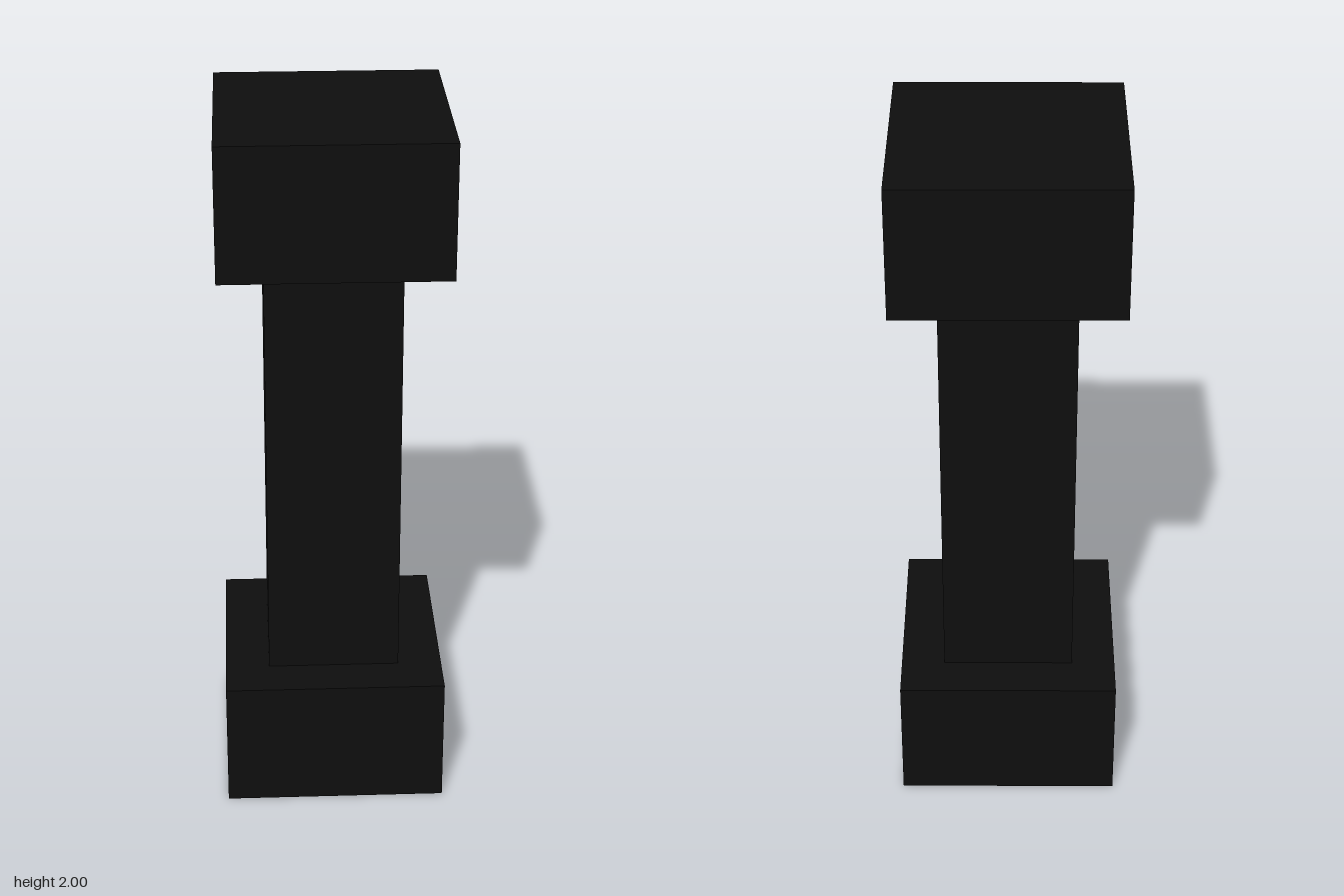
import * as THREE from 'three';

export function createModel() {
  const model = new THREE.Group();
  model.name = 'pillar';

  const black = new THREE.MeshStandardMaterial({ color: 0x0e0e0e });
  black.name = 'black';

  // Square block centred on the axis, standing at the given height
  function addBlock(name, width, height, bottom) {
    const mesh = new THREE.Mesh(new THREE.BoxGeometry(width, height, width), black);
    mesh.name = name;
    mesh.position.y = bottom + height / 2;
    model.add(mesh);
  }

  const endWidth = 0.625, endHeight = 0.375;
  const shaftWidth = 0.375, shaftHeight = 1.25;

  addBlock('base', endWidth, endHeight, 0);
  addBlock('shaft', shaftWidth, shaftHeight, endHeight);
  addBlock('capital', endWidth, endHeight, endHeight + shaftHeight);

  return model;
}
